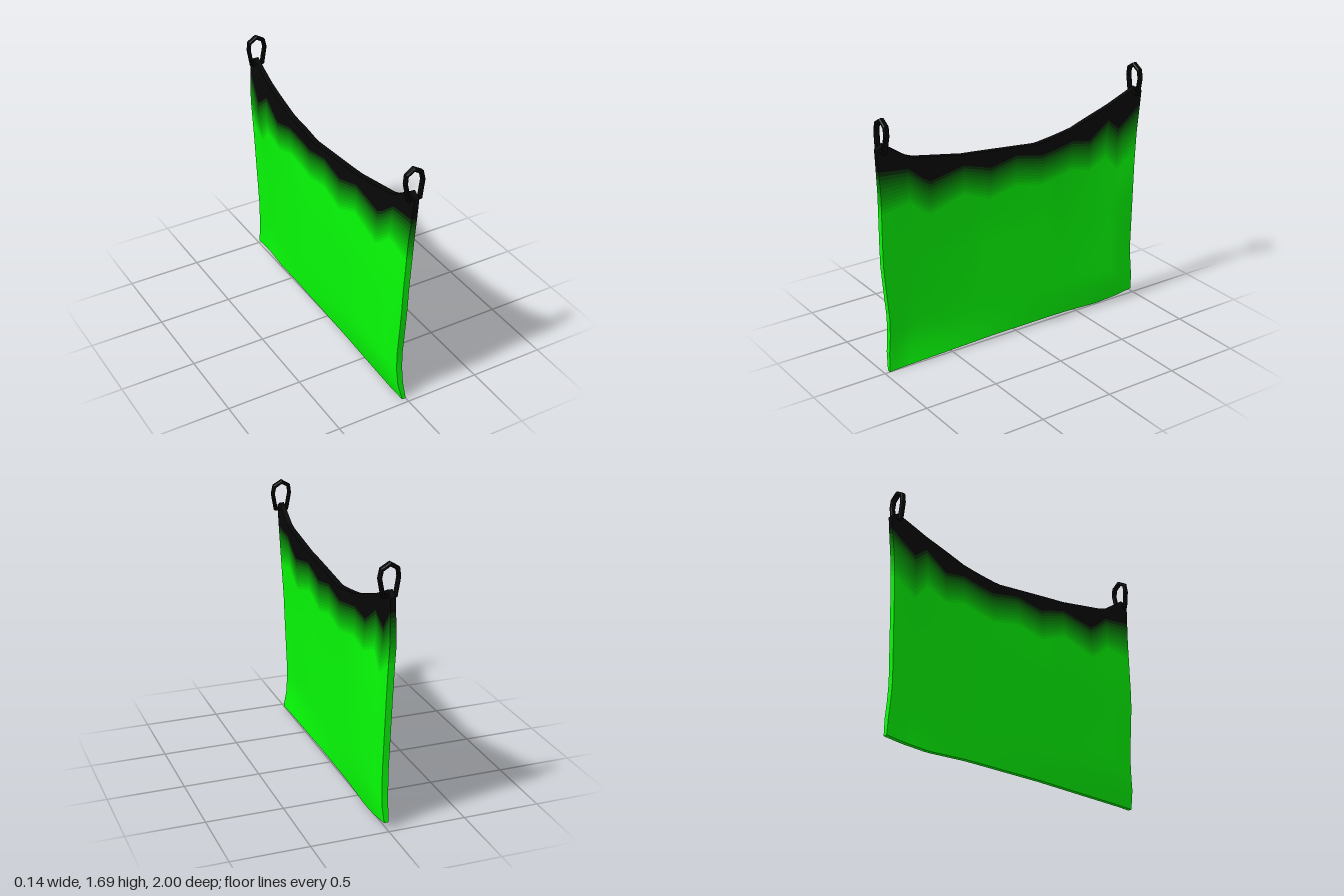
import * as THREE from 'three';

const GREEN = new THREE.Color(0x06fa06), BLACK = new THREE.Color(0x070707);
const mat = (color) => new THREE.MeshStandardMaterial({ color });

// Piecewise linear lookup in [[x, y], ...] with ascending x
function lin(table, x) {
  if (x <= table[0][0]) return table[0][1];
  for (let i = 1; i < table.length; i++) {
    const [x0, y0] = table[i - 1], [x1, y1] = table[i];
    if (x <= x1) return y0 + (y1 - y0) * (x - x0) / (x1 - x0);
  }
  return table[table.length - 1][1];
}

// Cloth outline: heights along z, and z of the two upright edges along y
const topY = [[-1, 1.49], [-0.95, 1.525], [-0.74, 1.43], [-0.44, 1.33], [-0.16, 1.29], [0.4, 1.34], [0.78, 1.41], [0.95, 1.53], [1, 1.5]];
const bottomY = [[-1, 0.045], [-0.68, 0.02], [-0.4, 0.03], [0.2, 0.025], [0.66, 0.01], [1, 0]];
const frontZ = [[0, 0.965], [0.3, 0.935], [0.7, 0.97], [1.2, 0.98], [1.5, 1]];
const backZ = [[0.045, -0.965], [0.35, -0.94], [1, -0.965], [1.49, -1]];

// Wavy limits of the colour fade
const blackY = [[-1, 1.4], [-0.85, 1.25], [-0.75, 1.33], [-0.6, 1.22], [-0.45, 1.25], [-0.2, 1.21], [0, 1.25], [0.2, 1.21], [0.4, 1.27], [0.66, 1.22], [0.8, 1.34], [1, 1.36]];
const greenY = [[-1, 1.08], [-0.85, 0.97], [-0.75, 1.08], [-0.6, 1.02], [-0.45, 1.06], [-0.2, 1.01], [0, 1.05], [0.2, 1.0], [0.4, 1.08], [0.66, 1.0], [0.8, 1.12], [1, 1.08]];

// Sideways billow of the cloth: rows by height, columns from front to back
const billowU = [0, 0.06, 0.35, 0.65, 0.93, 1];
const billow = [
  [0, [-0.012, -0.015, -0.005, 0, 0.01, 0]],
  [0.15, [-0.04, -0.056, -0.025, 0, 0.029, 0.01]],
  [0.8, [-0.035, -0.035, -0.03, -0.005, 0, -0.005]],
  [1.2, [-0.015, -0.01, -0.015, 0, -0.038, -0.015]],
  [1.4, [-0.005, 0, -0.005, -0.005, -0.015, -0.005]],
  [1.53, [0, 0, 0, 0, 0, 0]],
];
const billowX = (u, y) => lin(billow.map(([h, row]) => [h, lin(row.map((x, i) => [billowU[i], x]), u)]), y);
const halfThick = [[0, 0.013], [0.15, 0.02], [1.2, 0.021], [1.5, 0.016]];

const COLS = 40, LOW = 9, FADE = 10, HIGH = 2, ROWS = LOW + FADE + HIGH;

// Point of the cloth at column fraction u and row r, on side s
function clothPoint(u, r, s) {
  const z = 1 - 2 * u;
  const b = lin(bottomY, z), g = lin(greenY, z), t = lin(topY, z);
  const k = Math.min(lin(blackY, z), t - 0.03);
  const y = r <= LOW ? b + (g - b) * r / LOW
    : r <= LOW + FADE ? g + (k - g) * (r - LOW) / FADE
    : k + (t - k) * (r - LOW - FADE) / HIGH;
  const zz = THREE.MathUtils.lerp(lin(frontZ, y), lin(backZ, y), u);
  return [billowX(u, y) + s * lin(halfThick, y), y, zz];
}

// Grid surface; columns in skip are left unjoined, giving sharp edges
function gridGeometry(rows, cols, point, skip = []) {
  const pos = [], index = [];
  for (let r = 0; r <= rows; r++) for (let c = 0; c <= cols; c++) pos.push(...point(c, r));
  for (let r = 0; r < rows; r++) for (let c = 0; c < cols; c++) {
    if (skip.includes(c)) continue;
    const a = r * (cols + 1) + c, b = a + 1, d = a + cols + 1, e = d + 1;
    index.push(a, e, b, a, d, e);
  }
  const geo = new THREE.BufferGeometry();
  geo.setAttribute('position', new THREE.Float32BufferAttribute(pos, 3));
  geo.setIndex(index);
  geo.computeVertexNormals();
  return geo;
}

function makeCloth() {
  const cloth = new THREE.Group();
  cloth.name = 'cloth';
  const add = (name, geo, color) => {
    const mesh = new THREE.Mesh(geo, mat(color));
    mesh.name = name;
    cloth.add(mesh);
  };

  // Closed loop round the cloth: right face, back rim, left face, front rim
  const loop = [];
  for (let i = 0; i <= COLS; i++) loop.push([i / COLS, -1]);
  loop.push([1, -1], [1, 1]);
  for (let i = COLS; i >= 0; i--) loop.push([i / COLS, 1]);
  loop.push([0, 1], [0, -1]);
  const skip = [COLS, COLS + 2, 2 * COLS + 3];
  const body = gridGeometry(ROWS, loop.length - 1, (c, r) => clothPoint(loop[c][0], r, loop[c][1]), skip);

  // Cut the loop into colour bands that share its smooth normals
  const all = Array.from(body.index.array), perRow = all.length / ROWS;
  const band = (name, from, to, color) => {
    const geo = new THREE.BufferGeometry();
    geo.setAttribute('position', body.getAttribute('position'));
    geo.setAttribute('normal', body.getAttribute('normal'));
    geo.setIndex(all.slice(from * perRow, to * perRow));
    add(name, geo, color);
  };
  band('greenCloth', 0, LOW, GREEN);
  for (let i = 0; i < FADE; i++) {
    const blend = ((i + 0.5) / FADE) ** 0.65;
    band('fadeBand' + (i + 1), LOW + i, LOW + i + 1, GREEN.clone().lerp(BLACK, blend));
  }
  band('blackCloth', LOW + FADE, ROWS, BLACK);

  // Hems closing the top and bottom
  add('topHem', gridGeometry(1, COLS, (c, r) => clothPoint(c / COLS, ROWS, r ? 1 : -1)), BLACK);
  add('bottomHem', gridGeometry(1, COLS, (c, r) => clothPoint(c / COLS, 0, r ? -1 : 1)), GREEN);
  return cloth;
}

// Faceted hanging loop threaded through a top corner
function makeLoop(name, z, tilt) {
  const outer = [[-0.045, 0], [0.05, 0], [0.072, 0.12], [0.06, 0.18], [0, 0.215], [-0.058, 0.18], [-0.066, 0.12]];
  const inner = [[-0.028, 0.022], [0.031, 0.022], [0.05, 0.12], [0.041, 0.163], [0, 0.187], [-0.04, 0.163], [-0.045, 0.12]];
  const vec = (pts) => pts.map(([x, y]) => new THREE.Vector2(x, y));
  const shape = new THREE.Shape(vec(outer));
  shape.holes.push(new THREE.Path(vec(inner)));
  const geo = new THREE.ExtrudeGeometry(shape, {
    depth: 0.022, bevelThickness: 0.007, bevelSize: 0.006, bevelOffset: -0.006, bevelSegments: 1,
  });
  geo.translate(0, 0, -0.011);
  const mesh = new THREE.Mesh(geo, mat(BLACK));
  mesh.name = name;
  mesh.position.set(0, 1.475, z);
  mesh.rotation.x = tilt;
  return mesh;
}

export function createModel() {
  const model = new THREE.Group();
  model.name = 'hangingCloth';
  model.add(makeCloth(), makeLoop('frontLoop', 0.965, -0.06), makeLoop('backLoop', -0.945, 0));
  return model;
}
